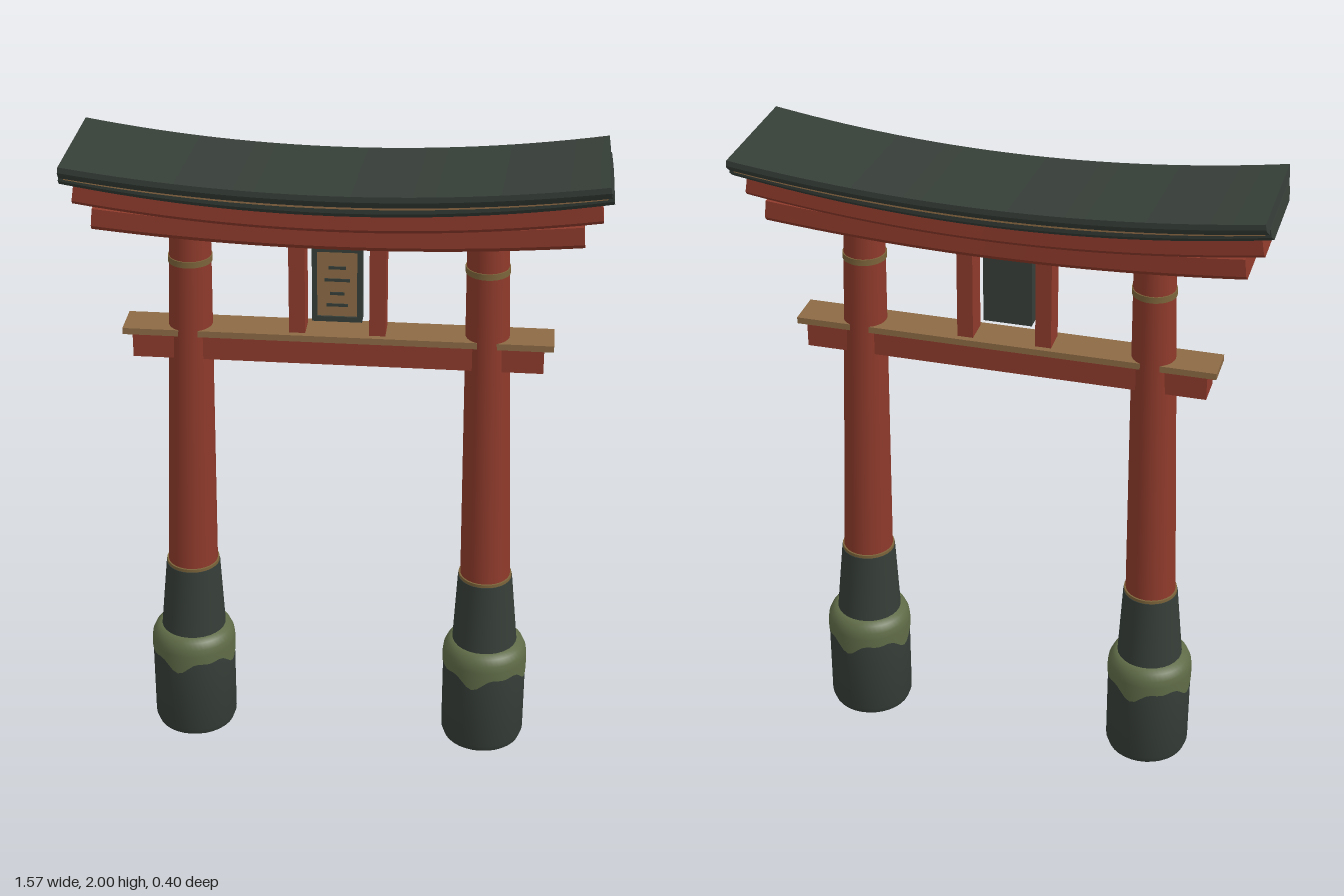
import * as THREE from 'three';
import { toCreasedNormals } from 'three/addons/utils/BufferGeometryUtils.js';

const flat = (name, color) => Object.assign(new THREE.MeshStandardMaterial({ color }), { name });
const red = flat('vermilion', 0x8e3a2b);
const slate = flat('dark slate', 0x363e38);
const moss = flat('moss', 0x5f6b47);
const wood = flat('tan wood', 0x8c6a45);
const brass = flat('aged brass', 0x7c643a);

function add(parent, name, geometry, material, x = 0, y = 0, z = 0) {
  const mesh = new THREE.Mesh(geometry, material);
  mesh.name = name;
  mesh.position.set(x, y, z);
  parent.add(mesh);
  return mesh;
}

const box = (w, h, d) => new THREE.BoxGeometry(w, h, d);

// Beam swept along x from a half profile of [z, y] points, then bent upward at both ends
function curvedBeam(half, length, baseY, rise) {
  const pts = [...half, ...half.slice().reverse().map(([z, y]) => [-z, y])];
  const shape = new THREE.Shape(pts.map(([z, y]) => new THREE.Vector2(z, y)));
  const geo = new THREE.ExtrudeGeometry(shape, { depth: 2 * length, steps: 28, bevelEnabled: false });
  geo.translate(0, 0, -length).rotateY(Math.PI / 2);
  const p = geo.attributes.position;
  for (let i = 0; i < p.count; i++) {
    const x = p.getX(i), y = p.getY(i), t = x / length;
    const slope = (2 * rise * t) / length;
    p.setXYZ(i, x - y * slope, baseY + rise * t * t + y, p.getZ(i) * (0.95 + 0.05 * t * t));
  }
  return toCreasedNormals(geo, 0.5);
}

const leanX = (y) => 0.478 - 0.0243 * y;

// Round column section that follows the inward lean of the pillar
function leaning(rBottom, rTop, y0, y1, side) {
  const geo = new THREE.CylinderGeometry(rTop, rBottom, y1 - y0, 28);
  geo.translate(0, (y0 + y1) / 2, 0);
  const p = geo.attributes.position;
  for (let i = 0; i < p.count; i++) p.setX(i, p.getX(i) + side * leanX(p.getY(i)));
  geo.computeVertexNormals();
  return toCreasedNormals(geo, 0.6);
}

const lathe = (pts, n) => new THREE.LatheGeometry(pts.map(([r, y]) => new THREE.Vector2(r, y)), n);

// Moss cap with an uneven lower edge
function mossCap() {
  const geo = lathe([[0.134, 0.27], [0.134, 0.315], [0.131, 0.338], [0.121, 0.36], [0.106, 0.37], [0.085, 0.372]], 48);
  const p = geo.attributes.position;
  for (let i = 0; i < p.count; i++) {
    if (p.getY(i) > 0.28) continue;
    const a = Math.atan2(p.getX(i), p.getZ(i));
    p.setY(i, 0.275 + 0.017 * Math.sin(4 * a - 0.6) + 0.009 * Math.sin(8 * a + 0.5));
  }
  return geo;
}

function pillar(side) {
  const g = new THREE.Group();
  g.name = side > 0 ? 'leftPillar' : 'rightPillar';
  const stone = lathe([[0, 0], [0.11, 0], [0.124, 0.008], [0.132, 0.03], [0.132, 0.315],
    [0.129, 0.337], [0.119, 0.358], [0.105, 0.368], [0, 0.369]], 32);
  add(g, 'footStone', toCreasedNormals(stone, 0.7), slate, side * 0.471);
  add(g, 'mossCap', mossCap(), moss, side * 0.471);
  add(g, 'sleeve', leaning(0.103, 0.085, 0.36, 0.605, side), slate);
  add(g, 'sleeveBand', leaning(0.083, 0.083, 0.598, 0.615, side), brass);
  add(g, 'shaft', leaning(0.078, 0.061, 0.6, 1.76, side), red);
  add(g, 'upperBand', leaning(0.066, 0.066, 1.645, 1.664, side), brass);
  return g;
}

export function createModel() {
  const model = new THREE.Group();
  model.name = 'shrineGate';
  for (const side of [-1, 1]) model.add(pillar(side));

  // Straight tie beam with its plank
  add(model, 'tieBeam', box(1.224, 0.076, 0.1), red, 0, 1.382);
  add(model, 'tieBeamPlank', box(1.28, 0.02, 0.118), wood, 0, 1.43);

  // Struts between tie beam and lintel
  for (const side of [-1, 1]) add(model, 'strut', box(0.048, 0.3, 0.08), red, side * 0.119, 1.589);

  // Hanging tablet: backing, panel, raised rim and carved bars
  const tablet = new THREE.Group();
  tablet.name = 'tablet';
  tablet.position.set(0, 1.601, 0.015);
  model.add(tablet);
  add(tablet, 'tabletBack', box(0.148, 0.238, 0.03), slate);
  add(tablet, 'tabletPanel', box(0.118, 0.206, 0.006), wood, 0, 0, 0.017);
  for (const s of [-1, 1]) {
    add(tablet, 'tabletSideRim', box(0.015, 0.238, 0.012), slate, s * 0.0665, 0, 0.02);
    add(tablet, 'tabletEndRim', box(0.12, 0.016, 0.012), slate, 0, s * 0.111, 0.02);
  }
  [[0.052, 0.052], [0.074, 0.013], [0.042, -0.03], [0.062, -0.067]].forEach(([w, y]) =>
    add(tablet, 'carvedBar', box(w, 0.009, 0.004), slate, 0, y, 0.021));

  // Curved lintels and two-tier roof
  add(model, 'lowerLintel', curvedBeam([[0.072, 0], [0.088, 0.016], [0.088, 0.069]], 0.712, 1.725, 0.037), red);
  add(model, 'upperLintel', curvedBeam([[0.092, 0], [0.106, 0.013], [0.106, 0.065]], 0.76, 1.788, 0.06), red);
  add(model, 'roofUnderlayer', curvedBeam([[0.127, 0], [0.155, 0.02], [0.158, 0.045]], 0.786, 1.851, 0.07), slate);
  add(model, 'eaveStrip', curvedBeam([[0.165, 0], [0.165, 0.009]], 0.765, 1.888, 0.061), wood);
  add(model, 'roofCap', curvedBeam([[0.168, 0], [0.196, 0.022], [0.2, 0.028], [0.2, 0.045]], 0.777, 1.895, 0.06), slate);
  return model;
}
